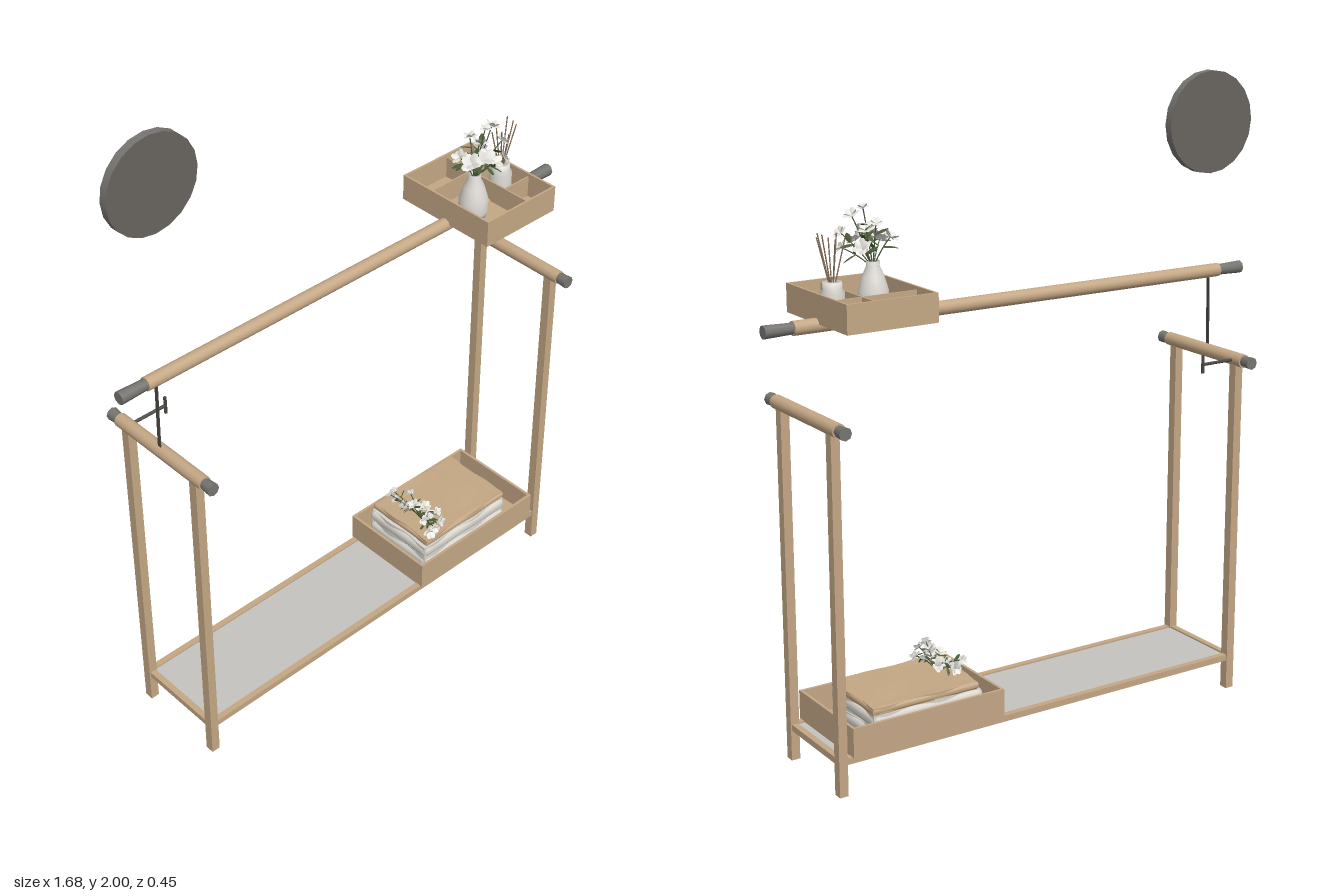
import * as THREE from 'three';
import { mergeGeometries } from 'three/addons/utils/BufferGeometryUtils.js';
import { RoundedBoxGeometry } from 'three/addons/geometries/RoundedBoxGeometry.js';

const mat = (name, color, extra = {}) => new THREE.MeshStandardMaterial({ name, color, ...extra });
const V = (x, y, z) => new THREE.Vector3(x, y, z);

export function createModel() {
  const root = new THREE.Group();
  root.name = 'clothesRack';
  const wood = mat('wood', 0xc4a785);
  const metal = mat('darkMetal', 0x4a4844);
  const capMat = mat('endCapGrey', 0x777571);
  const panel = mat('shelfPanel', 0xc4c3be);
  const glass = mat('mirrorGlass', 0x686460);
  const ceramic = mat('ceramic', 0xdedbd5, { side: THREE.DoubleSide });
  const petal = mat('petalWhite', 0xe6e4de, { side: THREE.DoubleSide });
  const green = mat('leafGreen', 0x4c5c3a, { side: THREE.DoubleSide });
  const linen = mat('whiteLinen', 0xd8d5ce);
  const reed = mat('reed', 0x8a735a);

  const add = (name, geo, m, x = 0, y = 0, z = 0, parent = root) => {
    const mesh = new THREE.Mesh(geo, m);
    mesh.name = name;
    mesh.position.set(x, y, z);
    parent.add(mesh);
    return mesh;
  };
  const box = (name, x0, x1, y0, y1, z0, z1, m = wood, parent = root) =>
    add(name, new THREE.BoxGeometry(x1 - x0, y1 - y0, z1 - z0), m,
      (x0 + x1) / 2, (y0 + y1) / 2, (z0 + z1) / 2, parent);
  // Cylinder geometry between two points
  const rodGeo = (a, b, ra, rb = ra, sides = 6) => {
    const d = b.clone().sub(a);
    const g = new THREE.CylinderGeometry(rb, ra, d.length(), sides);
    g.applyQuaternion(new THREE.Quaternion().setFromUnitVectors(V(0, 1, 0), d.normalize()));
    return g.translate((a.x + b.x) / 2, (a.y + b.y) / 2, (a.z + b.z) / 2);
  };

  // Round pole with a wrapped grey sleeve on each end
  const pole = (name, center, dir, half, sleeve) => {
    const at = (t) => center.clone().addScaledVector(dir, t);
    add(name, rodGeo(at(sleeve - half), at(half - sleeve), 0.021, 0.021, 20), wood);
    for (const s of [-1, 1])
      add(name + 'EndCap', rodGeo(at(s * (half - sleeve)), at(s * half), 0.017, 0.02, 8), capMat);
  };
  pole('hangingRail', V(0, 1.355, 0), V(1, 0, 0), 0.84, 0.09);

  // End frames and lower frame
  for (const s of [-1, 1]) {
    const x = s * 0.713;
    pole('crossBar', V(x, 1.1, 0), V(0, 0, 1), 0.225, 0.037);
    for (const z of [-0.15, 0.15])
      box('post', x - 0.014, x + 0.014, 0, 1.09, z - 0.0145, z + 0.0145);
    box('shelfEndRail', x - 0.01, x + 0.01, 0.095, 0.115, -0.136, 0.136);
    box('shelfSideRail', -0.7, 0.7, 0.095, 0.115, s * 0.15 - 0.01, s * 0.15 + 0.01);
  }
  box('shelfPanel', -0.703, 0.703, 0.099, 0.11, -0.14, 0.14, panel);

  // Strap tying the rail to the left frame
  box('strap', -0.718, -0.715, 1.11, 1.345, -0.006, 0.006, metal).rotation.z = -0.02;

  // T-shaped peg
  add('pegStem', rodGeo(V(-0.72, 1.1, -0.15), V(-0.58, 1.1, -0.15), 0.005, 0.005, 8), metal);
  add('pegHead', rodGeo(V(-0.58, 1.073, -0.15), V(-0.58, 1.13, -0.15), 0.005, 0.005, 8), metal);

  // Round wall mirror
  const mirror = new THREE.CylinderGeometry(0.153, 0.153, 0.026, 20);
  mirror.rotateX(Math.PI / 2);
  add('mirror', mirror, [capMat, glass, glass], -0.578, 1.847, -0.151);

  // Open trays
  const tray = (name, x0, x1, y0, y1, z0, z1, t) => {
    const g = new THREE.Group();
    g.name = name;
    root.add(g);
    box('trayFloor', x0, x1, y0, y0 + t, z0, z1, wood, g);
    for (const z of [z0, z1 - t]) box('traySide', x0, x1, y0 + t, y1, z, z + t, wood, g);
    for (const x of [x0, x1 - t]) box('trayEnd', x, x + t, y0 + t, y1, z0 + t, z1 - t, wood, g);
    return g;
  };
  tray('lowerTray', 0.165, 0.68, 0.113, 0.205, -0.167, 0.167, 0.009);
  const upper = tray('upperTray', 0.387, 0.676, 1.36, 1.445, -0.18, 0.175, 0.007);
  box('divider', 0.565, 0.57, 1.367, 1.435, -0.173, 0.168, wood, upper);
  box('divider', 0.394, 0.669, 1.367, 1.435, -0.073, -0.068, wood, upper);
  box('divider', 0.57, 0.669, 1.367, 1.435, 0.068, 0.073, wood, upper);

  // Folded cloths, softly rippled
  const cloth = (name, w, h, d, m, x, y, z, amp) => {
    const g = new RoundedBoxGeometry(w, h, d, 5, h * 0.45);
    const base = new THREE.BoxGeometry(w - h * 0.3, h, d - h * 0.3, 18, 1, 14);
    const p = base.attributes.position;
    for (let i = 0; i < p.count; i++) {
      const a = p.getX(i), b = p.getZ(i);
      if (p.getY(i) > 0) p.setY(i, h / 2 + amp * Math.sin(a * 22 + b * 9) * Math.cos(b * 17));
      p.setX(i, a + amp * Math.sin(b * 40));
      p.setZ(i, b + amp * Math.sin(a * 34));
    }
    base.computeVertexNormals();
    add(name + 'Edge', g, m, x, y, z);
    add(name, base, m, x, y, z);
  };
  cloth('whiteCloth', 0.38, 0.045, 0.27, linen, 0.41, 0.146, -0.01, 0.003);
  cloth('whiteClothTop', 0.38, 0.045, 0.27, linen, 0.41, 0.192, -0.01, 0.004);
  cloth('tanCloth', 0.365, 0.023, 0.26, wood, 0.417, 0.225, -0.012, 0.003);

  // Vase
  const vase = [[0, 0], [0.04, 0], [0.046, 0.02], [0.044, 0.06], [0.032, 0.1], [0.019, 0.13],
    [0.02, 0.143], [0.015, 0.143], [0.014, 0.12], [0, 0.11]].map(([x, y]) => new THREE.Vector2(x, y));
  add('vase', new THREE.LatheGeometry(vase, 20), ceramic, 0.475, 1.367, 0.03);

  // Reed diffuser
  const jar = [[0, 0], [0.033, 0], [0.035, 0.01], [0.035, 0.075], [0.028, 0.085], [0.028, 0.105],
    [0.01, 0.105], [0.01, 0.08]].map(([x, y]) => new THREE.Vector2(x, y));
  add('diffuserJar', new THREE.LatheGeometry(jar, 20), ceramic, 0.622, 1.367, 0);
  const reeds = [];
  for (let i = 0; i < 7; i++) {
    const a = i * 2.4;
    reeds.push(rodGeo(V(0.622, 1.43, 0),
      V(0.624 + 0.043 * Math.cos(a), 1.6 + 0.015 * Math.sin(i * 3), 0.035 * Math.sin(a)), 0.002, 0.002, 5));
  }
  add('diffuserReeds', mergeGeometries(reeds), reed);

  // Flowers: curled petals, leaves and stems
  let seed = 7;
  const rnd = () => (seed = (seed * 16807) % 2147483647) / 2147483647;
  const blade = (w, l, curl) => {
    const g = new THREE.PlaneGeometry(w, l, 2, 3).translate(0, l / 2, 0);
    const p = g.attributes.position;
    for (let i = 0; i < p.count; i++) {
      const t = p.getY(i) / l;
      p.setX(i, p.getX(i) * (0.25 + 0.9 * Math.sin(Math.PI * Math.min(0.93, t * 0.85 + 0.08))));
      p.setZ(i, curl * l * t * t + Math.abs(p.getX(i)) * 0.3);
    }
    g.computeVertexNormals();
    return g;
  };
  const aim = (g, dir, at) => g.applyQuaternion(
    new THREE.Quaternion().setFromUnitVectors(V(0, 1, 0), dir.clone().normalize())).translate(at.x, at.y, at.z);
  const bouquet = (name, origin, tips, leafSize) => {
    const petals = [], greens = [];
    for (const [x, y, z, r] of tips) {
      const tip = V(x, y, z);
      const dir = tip.clone().sub(origin);
      const mid = origin.clone().lerp(tip, 0.5).add(V(0, 0.012, 0));
      const path = new THREE.QuadraticBezierCurve3(origin, mid, tip);
      greens.push(new THREE.TubeGeometry(path, 6, 0.0018, 5));
      for (let k = 0; k < 7; k++) {
        const open = k % 2 ? 1.15 : 0.7;
        petals.push(aim(blade(r * 0.75, r, 0.2).rotateX(open).rotateY(k * 0.9), dir, tip));
      }
      for (let k = 0; k < 2; k++)
        greens.push(aim(blade(leafSize * 0.4, leafSize, 0.3).rotateX(0.9).rotateY(rnd() * 6.3),
          dir, path.getPoint(0.45 + 0.3 * rnd())));
    }
    add(name + 'Petals', mergeGeometries(petals), petal);
    add(name + 'Greenery', mergeGeometries(greens), green);
  };
  bouquet('vaseFlower', V(0.475, 1.49, 0.03), [
    [0.44, 1.565, 0.05, 0.034], [0.465, 1.585, 0.08, 0.034], [0.43, 1.575, 0.01, 0.026],
    [0.495, 1.66, 0.045, 0.018], [0.54, 1.645, 0.03, 0.025], [0.565, 1.595, 0.05, 0.022],
    [0.525, 1.555, 0.0, 0.028], [0.5, 1.6, 0.02, 0.028], [0.555, 1.55, 0.07, 0.018],
    [0.5, 1.565, 0.085, 0.026], [0.48, 1.62, 0.0, 0.022]], 0.04);
  // Sprigs lying across the folded cloth
  const sprigs = [];
  for (let i = 0; i < 16; i++)
    sprigs.push([0.245 + 0.09 * rnd(), 0.255 + 0.042 * rnd(), -0.1 + 0.22 * (i / 15), 0.016 + 0.008 * rnd()]);
  bouquet('clothFlower', V(0.3, 0.242, 0.01), sprigs, 0.025);

  return root;
}
